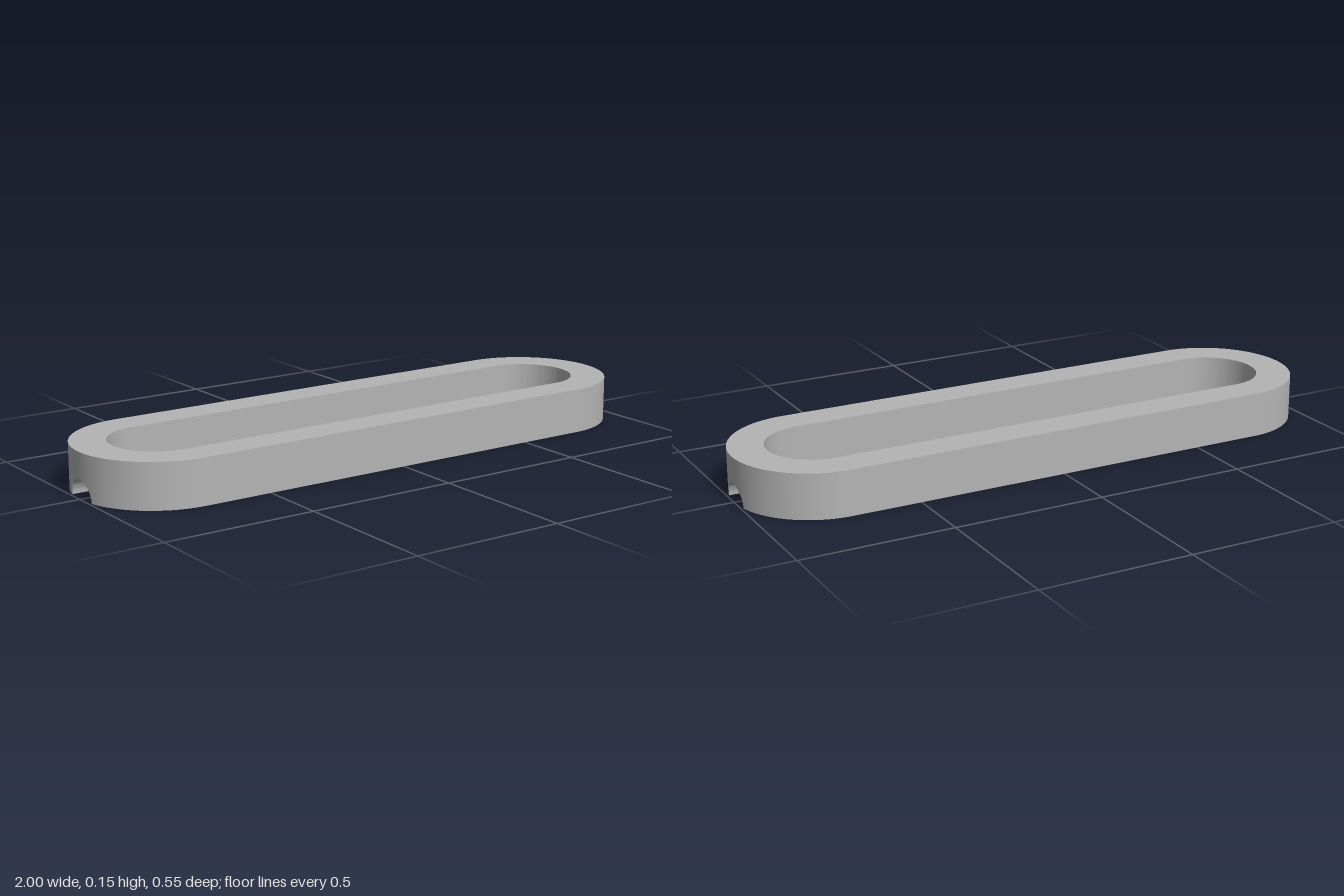
import * as THREE from 'three';
import { toCreasedNormals } from 'three/addons/utils/BufferGeometryUtils.js';

const HEIGHT = 0.148;
const OUTER = 0.273;        // outer end radius
const INNER = 0.158;        // inner end radius
const CENTRE = 1 - OUTER;   // x of the end arc centres
const NOTCH = 0.062;        // radius of the half-round groove under each end

// Cross-section of the bar: outer bottom, outer top, inner top, inner bottom
function section(zOuter, zInner, yBottom, side) {
  const xOuter = CENTRE + Math.sqrt(Math.max(0, OUTER ** 2 - zOuter ** 2));
  const xInner = CENTRE + Math.sqrt(Math.max(0, INNER ** 2 - zInner ** 2));
  return [
    [side * xOuter, yBottom, side * zOuter],
    [side * xOuter, HEIGHT, side * zOuter],
    [side * xInner, HEIGHT, side * zInner],
    [side * xInner, yBottom, side * zInner],
  ];
}

// Sections around one rounded end, with the groove cut into its underside
function endSections(side) {
  const arcSteps = 20, notchSteps = 28;
  const list = [];
  const arc = (t, sign) => {
    const z = (radius) => {
      const start = Math.asin(NOTCH / radius);
      return sign * radius * Math.sin(start + (Math.PI / 2 - start) * t);
    };
    list.push(section(z(OUTER), z(INNER), 0, side));
  };
  for (let i = arcSteps; i > 0; i--) arc(i / arcSteps, 1);
  for (let i = 0; i <= notchSteps; i++) {
    const a = Math.PI * i / notchSteps;
    const z = NOTCH * Math.cos(a);
    list.push(section(z, z, NOTCH * Math.sin(a), side));
  }
  for (let i = 1; i <= arcSteps; i++) arc(i / arcSteps, -1);
  return list;
}

// Join the sections into one closed loop
function loopGeometry(sections) {
  const positions = [];
  sections.forEach((a, i) => {
    const b = sections[(i + 1) % sections.length];
    for (let k = 0; k < 4; k++) {
      const n = (k + 1) % 4;
      positions.push(...a[k], ...b[k], ...b[n], ...a[k], ...b[n], ...a[n]);
    }
  });
  const geometry = new THREE.BufferGeometry();
  geometry.setAttribute('position', new THREE.Float32BufferAttribute(positions, 3));
  return toCreasedNormals(geometry, Math.PI / 6);
}

export function createModel() {
  const group = new THREE.Group();
  group.name = 'slottedLink';
  const grey = new THREE.MeshStandardMaterial({ color: 0xb4b4b4 });
  grey.name = 'grey';

  // Long oval ring; the straight sides join the two ends
  const ring = new THREE.Mesh(loopGeometry([...endSections(1), ...endSections(-1)]), grey);
  ring.name = 'ovalRing';
  group.add(ring);
  return group;
}
